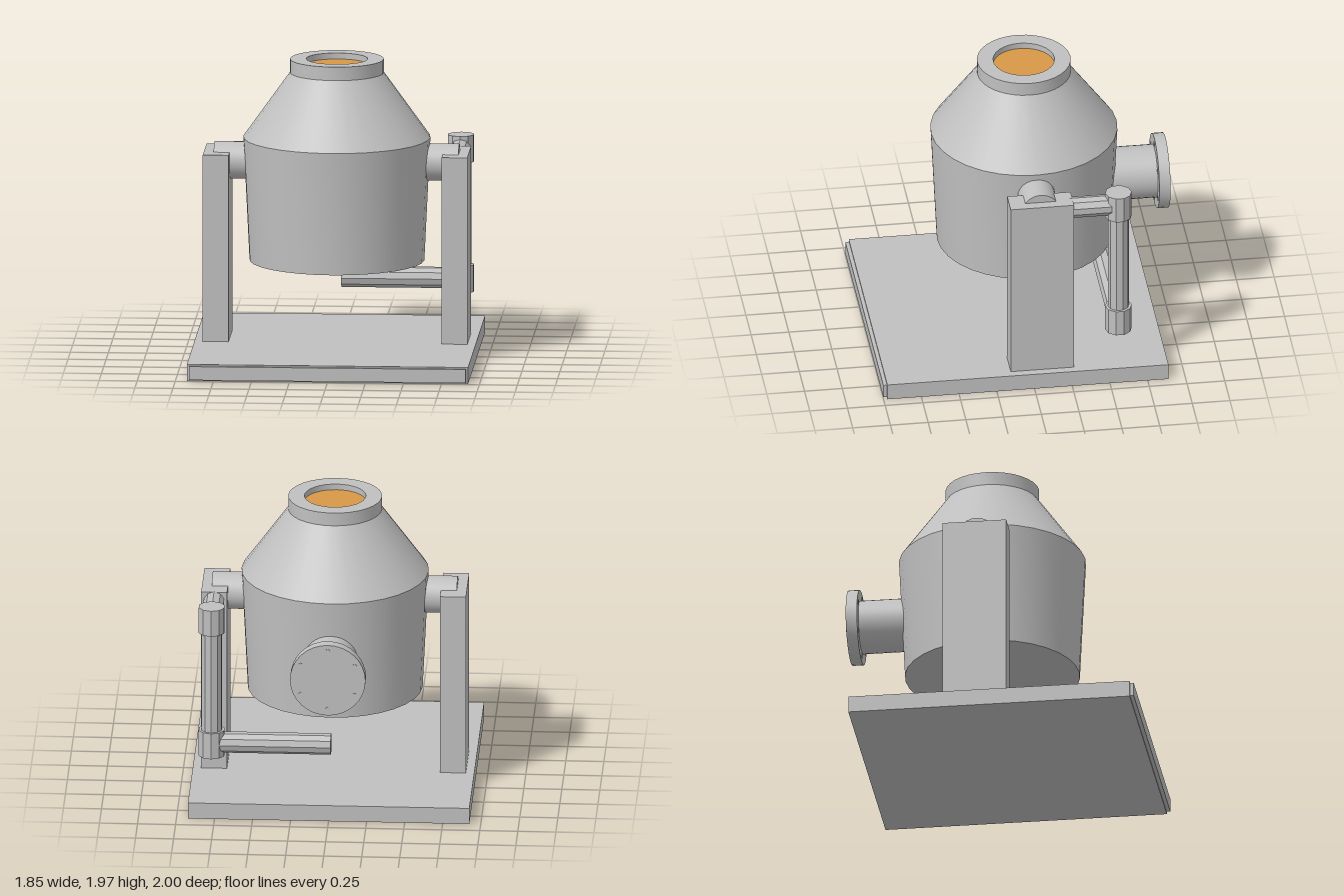
import * as THREE from 'three';
import { toCreasedNormals } from 'three/addons/utils/BufferGeometryUtils.js';

export function createModel() {
  const model = new THREE.Group();
  const steel = new THREE.MeshStandardMaterial({ color: 0xc0c0c0 });
  steel.name = 'steel grey';
  const molten = new THREE.MeshStandardMaterial({ color: 0xd89848 });
  molten.name = 'molten orange';
  const facetedSteel = steel;
  const CZ = -0.057; // vessel axis

  function add(name, geometry, x, y, z, material = steel) {
    const mesh = new THREE.Mesh(geometry, material);
    mesh.name = name;
    mesh.position.set(x, y, z);
    model.add(mesh);
    return mesh;
  }
  const box = (name, w, h, d, x, y, z) => add(name, new THREE.BoxGeometry(w, h, d), x, y, z);

  // Cylinder along the given axis; few sides give a faceted bar
  function rod(name, r, length, axis, x, y, z, sides = 32) {
    let g = new THREE.CylinderGeometry(r, r, length, sides);
    if (axis === 'x') g.rotateZ(Math.PI / 2);
    if (axis === 'z') g.rotateX(Math.PI / 2);
    g = toCreasedNormals(g, sides < 16 ? 0.1 : 0.6);
    return add(name, g, x, y, z, facetedSteel);
  }

  // Base plate with thin front lip
  box('basePlate', 1.85, 0.11, 1.863, 0, 0.055, 0.0435);
  box('baseFrontLip', 1.82, 0.09, 0.025, 0, 0.055, 0.9875);

  // Tilting vessel: tapered body, conical shoulder, collar and recessed mouth
  const profile = [
    [0, 0.63], [0.575, 0.63], [0.615, 1.45], [0.308, 1.88],
    [0.308, 1.97], [0.202, 1.97], [0.202, 1.92],
  ].map(([r, y]) => new THREE.Vector2(r, y));
  add('vessel', toCreasedNormals(new THREE.LatheGeometry(profile, 32), 0.4), 0, 0, CZ);
  add('moltenSurface', new THREE.CylinderGeometry(0.204, 0.204, 0.008, 32), 0, 1.926, CZ, molten);

  // Side posts and trunnions
  for (const s of [-1, 1]) {
    box('supportPost', 0.17, 1.245, 0.42, s * 0.785, 0.7325, -0.06);
    rod('trunnion', 0.123, 0.25, 'x', s * 0.68, 1.287, CZ, 24);
  }

  // Rear spout with bolted flange
  rod('rearPipe', 0.176, 0.5, 'z', 0, 1.04, -0.68);
  rod('rearFlange', 0.248, 0.074, 'z', 0, 1.04, -0.959);
  for (let i = 0; i < 6; i++) {
    const a = Math.PI / 6 + (i * Math.PI) / 3;
    rod('flangeBolt', 0.016, 0.082, 'z', 0.205 * Math.cos(a), 1.04 + 0.205 * Math.sin(a), -0.959, 10);
  }

  // Faceted pipe run beside the left post
  const PX = 0.785, PZ = -0.575;
  rod('upperPipe', 0.07, 0.33, 'z', PX, 1.288, -0.415, 10);
  rod('upperJoint', 0.088, 0.18, 'y', PX, 1.288, PZ, 10);
  rod('verticalPipe', 0.07, 0.72, 'y', PX, 0.855, PZ, 10);
  rod('lowerJoint', 0.088, 0.18, 'y', PX, 0.42, PZ, 10);
  rod('lowerPipe', 0.07, PX, 'x', PX / 2, 0.42, PZ, 10);

  return model;
}
